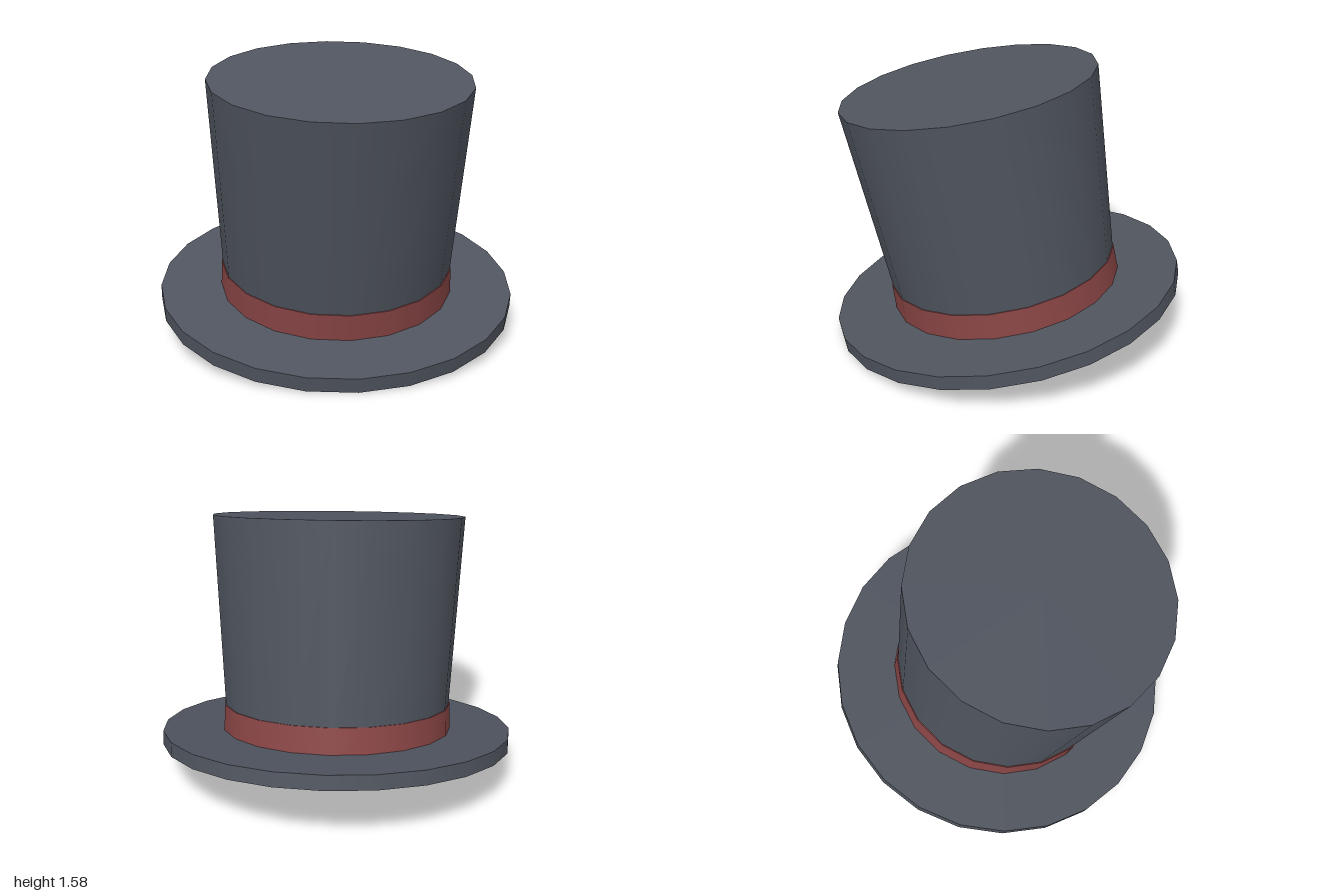
import * as THREE from 'three';

export function createModel() {
  const felt = new THREE.MeshStandardMaterial({ color: 0x50555f });
  const ribbon = new THREE.MeshStandardMaterial({ color: 0x8a4545 });

  // The hat stands along its own axis, then leans towards its front left.
  const hat = new THREE.Group();
  hat.name = 'topHat';
  hat.rotation.set(0.173, 0.705, 0, 'YXZ');
  hat.position.set(-0.005, 0.173, -0.005);

  // Round part between two heights on the hat's axis
  function round(name, material, rTop, rBottom, y0, y1, sides, open = false) {
    const geometry = new THREE.CylinderGeometry(rTop, rBottom, y1 - y0, sides, 1, open);
    geometry.translate(0, (y0 + y1) / 2, 0);
    const mesh = new THREE.Mesh(geometry, material);
    mesh.name = name;
    hat.add(mesh);
  }

  round('brim', felt, 1.005, 1.005, 0, 0.08, 24);
  round('crown', felt, 0.716, 0.643, 0.08, 1.3, 20);
  round('hatBand', ribbon, 0.657, 0.663, 0.08, 0.225, 20);

  const model = new THREE.Group();
  model.name = 'hatModel';
  model.add(hat);
  return model;
}
